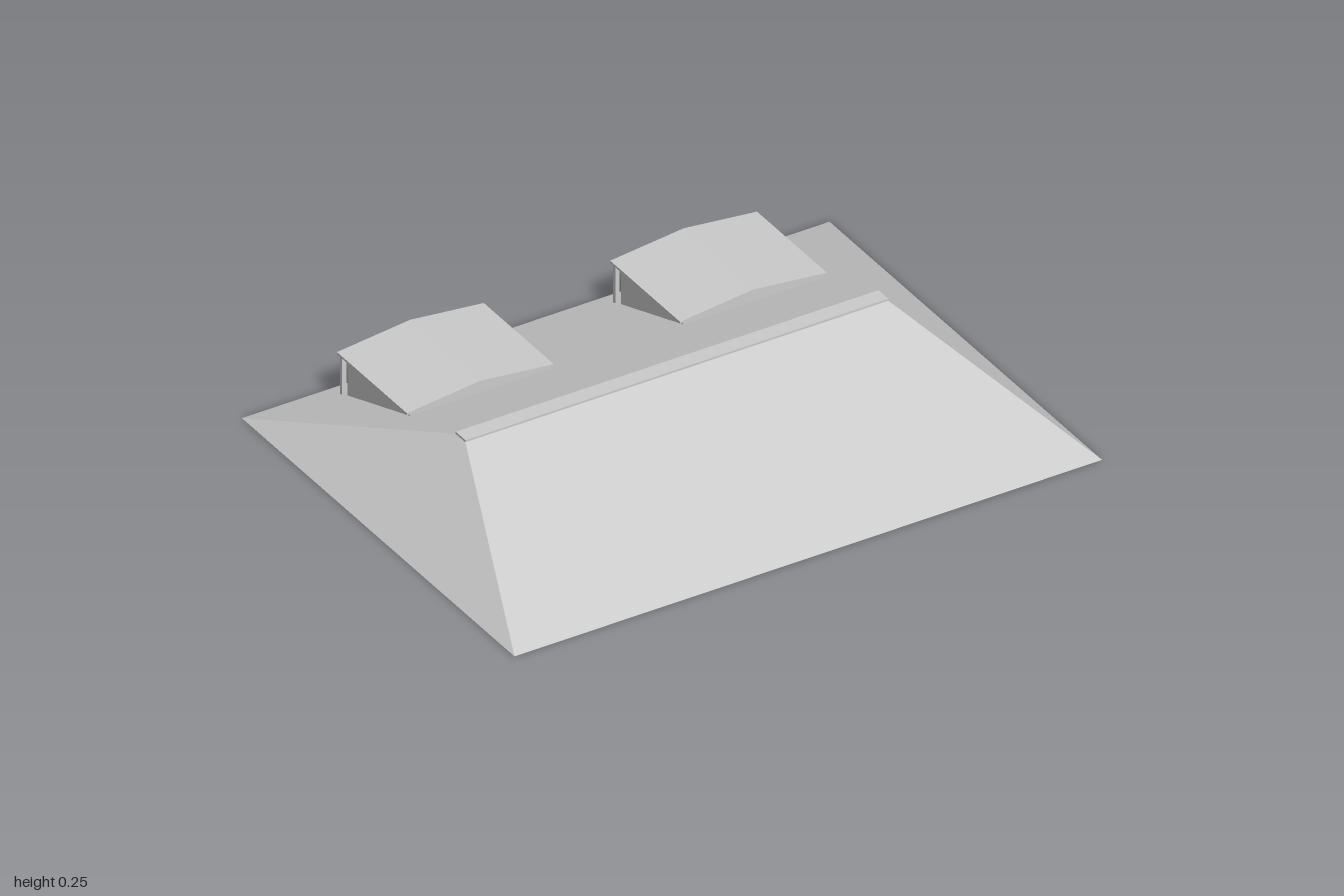
import * as THREE from 'three';

const grey = new THREE.MeshStandardMaterial({ color: 0xcccccc, side: THREE.DoubleSide, flatShading: true });

function part(name, geometry, parent, x = 0, y = 0, z = 0) {
  const mesh = new THREE.Mesh(geometry, grey);
  mesh.name = name;
  mesh.position.set(x, y, z);
  parent.add(mesh);
  return mesh;
}

function extrude(points, depth) {
  const shape = new THREE.Shape(points.map(([x, y]) => new THREE.Vector2(x, y)));
  return new THREE.ExtrudeGeometry(shape, { depth, bevelEnabled: false });
}

// Roof dimensions
const W = 1, D = 0.75, RIDGE_X = 0.72, RIDGE_Z = 0.027, RIDGE_Y = 0.247;
const slopeY = (u) => RIDGE_Y * (D - u) / (D - RIDGE_Z); // roof height at distance u from the ridge line

// Four open-bottomed slopes between the eaves and the ridge
function hipRoofGeometry() {
  const corners = [[1, 1], [1, -1], [-1, -1], [-1, 1]];
  const positions = [];
  corners.forEach(([sx, sz], i) => {
    const [tx, tz] = corners[(i + 1) % 4];
    const a = [sx * W, 0, sz * D], b = [tx * W, 0, tz * D];
    const c = [tx * RIDGE_X, RIDGE_Y, tz * RIDGE_Z], d = [sx * RIDGE_X, RIDGE_Y, sz * RIDGE_Z];
    positions.push(...a, ...b, ...c, ...a, ...c, ...d);
  });
  const geometry = new THREE.BufferGeometry();
  geometry.setAttribute('position', new THREE.Float32BufferAttribute(positions, 3));
  geometry.computeVertexNormals();
  return geometry;
}

function createDormer() {
  const dormer = new THREE.Group();
  const front = 0.303, wall = 0.645, back = 0.688, eave = 0.158;

  // Wedge-shaped body: cheeks and end wall, sunk slightly into the slope
  const body = extrude([
    [front, slopeY(front) - 0.004], [wall, slopeY(wall) - 0.004], [wall, eave], [front, eave],
  ], 0.48);
  body.rotateY(Math.PI / 2);
  part('dormerBody', body, dormer, -0.24);

  // Shallow gabled roof with a thin eave edge
  const gable = extrude([
    [-0.25, eave], [0.25, eave], [0.25, 0.165], [0, 0.192], [-0.25, 0.165],
  ], back - front);
  part('dormerRoof', gable, dormer, 0, 0, -back);

  // Posts carrying the overhang
  const postU = 0.673, bottom = slopeY(postU) - 0.004;
  for (const side of [-1, 1]) {
    part('dormerPost', new THREE.BoxGeometry(0.014, eave - bottom, 0.012), dormer,
      side * 0.238, (eave + bottom) / 2, -postU);
  }
  return dormer;
}

export function createModel() {
  const model = new THREE.Group();
  model.name = 'hippedRoof';

  part('roofSlopes', hipRoofGeometry(), model);
  part('ridgeCap', new THREE.BoxGeometry(RIDGE_X * 2, 0.008, RIDGE_Z * 2), model, 0, RIDGE_Y + 0.003, 0);

  // Two dormers on the rear slope
  for (const side of [-1, 1]) {
    const dormer = createDormer();
    dormer.name = side > 0 ? 'leftDormer' : 'rightDormer';
    dormer.position.x = side * 0.465;
    model.add(dormer);
  }
  return model;
}
